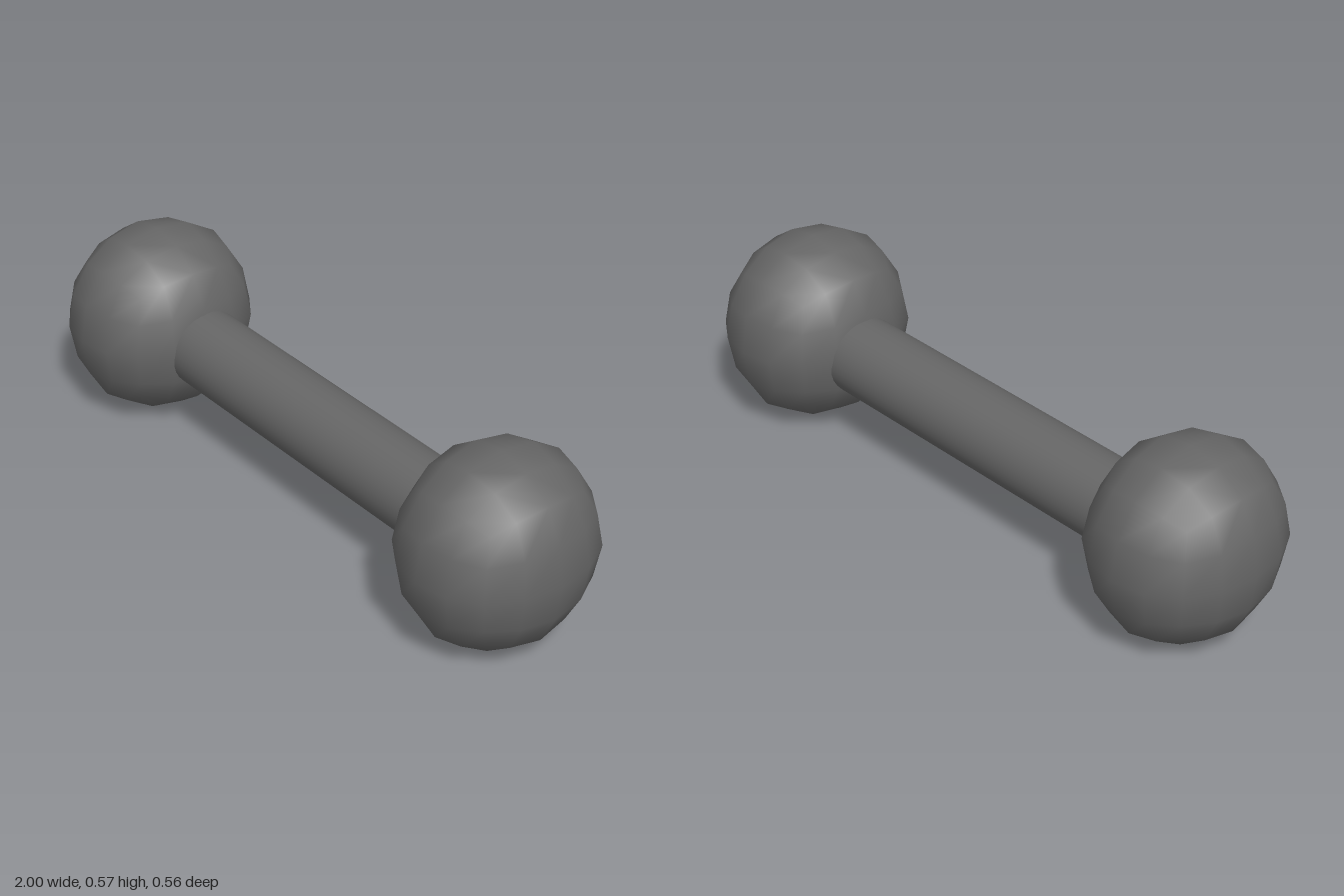
import * as THREE from 'three';
import { mergeVertices } from 'three/addons/utils/BufferGeometryUtils.js';

// Rounded cube: a 4x4-per-side box relaxed as a twice-subdivided cube.
// Key: squared length of the box grid point; values: where |1| and |0.5| coordinates move to.
const RELAX = {
  1: [1, 0],
  1.25: [0.9327, 0.3992],
  1.5: [0.8696, 0.3715],
  2: [0.7323, 0],
  2.25: [0.682, 0.344],
  3: [0.5794, 0],
};

function roundedCube(rx, ry, rz) {
  const box = new THREE.BoxGeometry(2, 2, 2, 4, 4, 4);
  const pos = box.attributes.position;
  const p = new THREE.Vector3();
  for (let i = 0; i < pos.count; i++) {
    p.fromBufferAttribute(pos, i);
    const [full, half] = RELAX[p.lengthSq()];
    const move = (c) => Math.sign(c) * (Math.abs(c) === 1 ? full : half);
    pos.setXYZ(i, move(p.x) * rx, move(p.y) * ry, move(p.z) * rz);
  }
  // weld the box sides so the shading is smooth all round
  box.deleteAttribute('normal');
  box.deleteAttribute('uv');
  const geometry = mergeVertices(box);
  geometry.computeVertexNormals();
  return geometry;
}

export function createModel() {
  const group = new THREE.Group();
  group.name = 'dumbbell';
  const material = new THREE.MeshStandardMaterial({ color: 0x666666 });

  // end weights
  const weightGeometry = roundedCube(0.246, 0.2875, 0.281);
  for (const side of [1, -1]) {
    const weight = new THREE.Mesh(weightGeometry, material);
    weight.name = side > 0 ? 'leftWeight' : 'rightWeight';
    weight.position.set(side * 0.754, 0.2875, 0);
    group.add(weight);
  }

  // handle bar, set slightly below and behind the weights' centres
  const handle = new THREE.Mesh(new THREE.CylinderGeometry(0.119, 0.119, 1.24, 32), material);
  handle.name = 'handle';
  handle.rotation.z = Math.PI / 2;
  handle.position.set(0, 0.265, -0.008);
  group.add(handle);

  return group;
}
